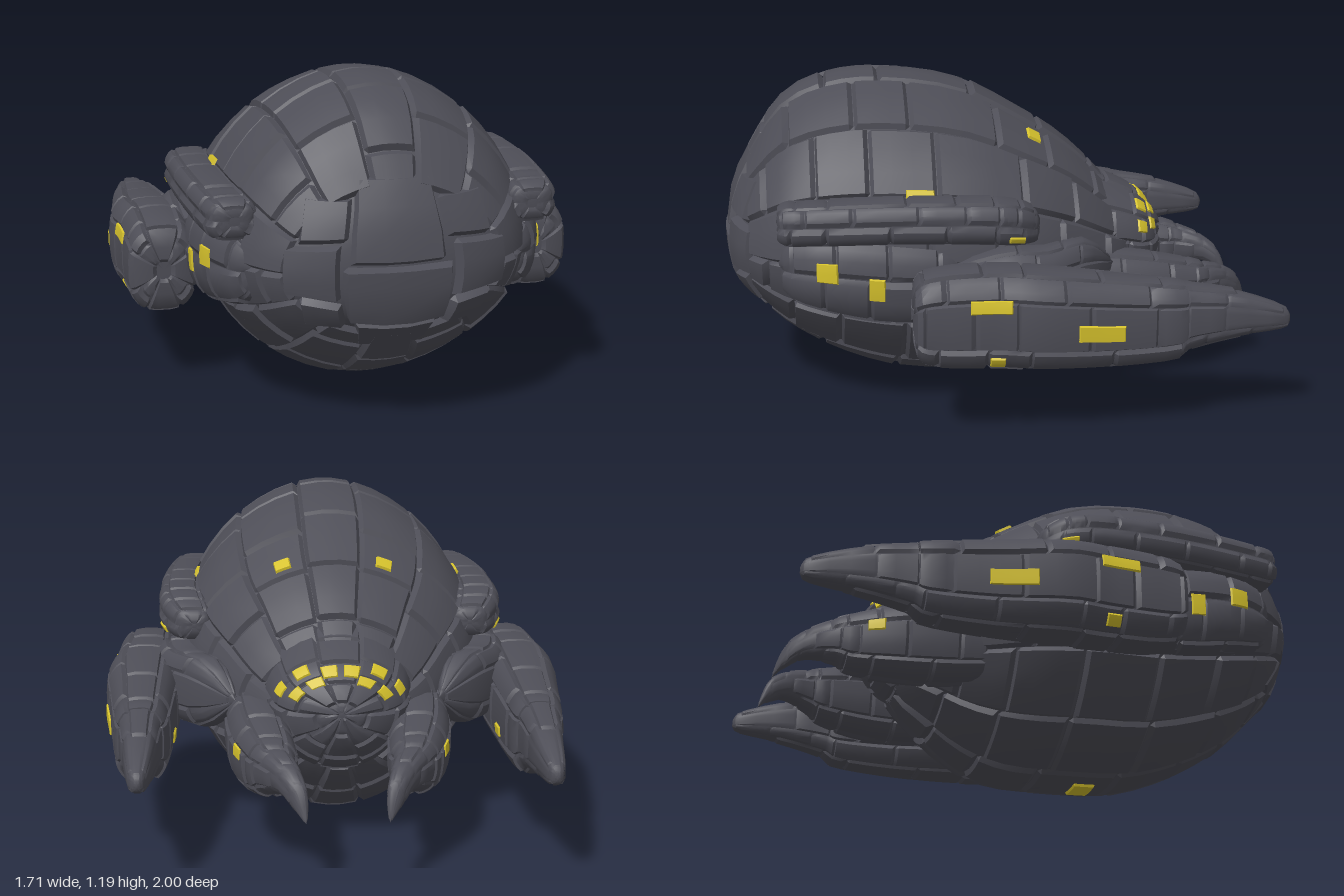
import * as THREE from 'three';
import { mergeGeometries, toCreasedNormals } from 'three/addons/utils/BufferGeometryUtils.js';

const RAD = Math.PI / 180;
const hash = (a, b) => { const s = Math.sin(a * 127.1 + b * 311.7 + 3.3) * 43758.5453; return s - Math.floor(s); };

// Smooth surface through cross-sections [z, cx, cy, halfWidth, heightUp, heightDown], listed from +z to -z
function makeSurface(rows, power, side) {
  const last = rows.length - 1;
  const at = (t) => {
    t = Math.min(Math.max(t, 0), last);
    const i = Math.min(Math.floor(t), last - 1), f = t - i;
    const p = [i - 1, i, i + 1, i + 2].map((k) => rows[Math.min(Math.max(k, 0), last)]);
    return p[0].map((_, k) => {
      const [a, b, c, d] = p.map((r) => r[k]);
      return b + 0.5 * f * (c - a + f * (2 * a - 5 * b + 4 * c - d + f * (3 * (b - c) + d - a)));
    });
  };
  const pow = (v) => Math.sign(v) * Math.pow(Math.abs(v), power);
  const point = (t, a) => {
    const [z, cx, cy, rx, up, down] = at(t), s = Math.sin(a);
    return new THREE.Vector3(cx * side + rx * pow(Math.cos(a)), cy + (s > 0 ? up : down) * pow(s), z);
  };
  // Row position of a given z
  const tAt = (z) => {
    let i = 0;
    while (i < last - 1 && rows[i + 1][0] > z) i++;
    return i + (rows[i][0] - z) / (rows[i][0] - rows[i + 1][0]);
  };
  return { point, tAt, last };
}

function grid(us, vs, fn) {
  const pos = [], idx = [], n = vs.length;
  us.forEach((u, i) => vs.forEach((v, j) => {
    pos.push(...fn(u, v, i, j).toArray());
    if (i && j) {
      const d = i * n + j, c = d - 1, b = d - n, a = b - 1;
      idx.push(a, c, d, a, d, b);
    }
  }));
  const g = new THREE.BufferGeometry();
  g.setAttribute('position', new THREE.Float32BufferAttribute(pos, 3));
  g.setIndex(idx);
  return g;
}

// Raised plate with bevelled rim on a patch of a surface
function plate(point, u0, u1, v0, v1, low, high, rim) {
  const um = (u0 + u1) / 2, vm = (v0 + v1) / 2;
  const stops = (a, b, len) => {
    const e = Math.min(0.25, rim / Math.max(len, 0.001));
    return [0, e, 0.35, 0.65, 1 - e, 1].map((f) => a + (b - a) * f);
  };
  const us = stops(u0, u1, point(u0, vm).distanceTo(point(u1, vm)));
  const vs = stops(v0, v1, point(um, v0).distanceTo(point(um, v1)));
  return grid(us, vs, (u, v, i, j) => {
    const du = point(u + 0.03, v).sub(point(u - 0.03, v));
    const dv = point(u, v + 0.03).sub(point(u, v - 0.03));
    const edge = i === 0 || j === 0 || i === 5 || j === 5;
    return point(u, v).addScaledVector(du.cross(dv).normalize(), edge ? low : high);
  });
}

export function createModel() {
  const model = new THREE.Group();
  const armour = new THREE.MeshStandardMaterial({ color: 0x4e4e57 });
  armour.name = 'dark grey armour';
  const glow = new THREE.MeshStandardMaterial({ color: 0xd6c22c });
  glow.name = 'yellow light';

  const add = (name, geos, mat) => {
    const mesh = new THREE.Mesh(toCreasedNormals(mergeGeometries(geos), 0.55), mat);
    mesh.name = name;
    model.add(mesh);
  };

  // Skin covered with staggered plates, plus lights [z, degrees, halfLength, halfDegrees]
  function armoured(name, rows, { cols, len, h, rim = 0.01, power = 1, side = 1, start = 0.3, lights = [], rear = [] }) {
    const s = makeSurface(rows, power, side);
    const range = (n, size) => Array.from({ length: n + 1 }, (_, i) => i / n * size);
    const geos = [grid(range(s.last * 3, s.last), range(40, Math.PI * 2), s.point)];
    const step = Math.PI * 2 / cols;
    for (let c = 0; c < cols; c++) {
      const key = Math.min(c, cols - c) + rows.length, a = Math.PI / 2 + c * step;
      let t = start, k = 0;
      while (t < s.last - 0.3) {
        let next = t + len * (k ? 0.75 + 0.5 * hash(key, k) : 0.5 + 0.5 * (key % 2));
        if (next > s.last - 0.7) next = s.last - 0.2;
        const mid = (t + next) / 2, radius = s.point(mid, 0).distanceTo(s.point(mid, Math.PI)) / 2;
        const high = h * Math.min(1, radius * 10) * (0.7 + 0.4 * hash(key, k + 9));
        geos.push(plate(s.point, t + 0.006, next - 0.006, a - step * 0.497, a + step * 0.497, h * 0.15, high, rim));
        t = next;
        k++;
      }
    }
    // Square plates across the rounded end
    const polar = (p, q) => s.point(Math.hypot(p, q), Math.atan2(q, p));
    rear.forEach(([p0, p1, q0, q1], i) => geos.push(plate(polar, p0, p1, q0, q1, 0, h * (1 + 0.25 * (i % 2)), rim)));
    add(name, geos, armour);
    if (lights.length) {
      add(name + 'Lights', lights.map(([z, deg, l, d]) => {
        const a = (side < 0 ? 180 - deg : deg) * RAD;
        return plate(s.point, s.tAt(z + l), s.tAt(z - l), a - d * RAD, a + d * RAD, h * 0.8, h * 1.1 + 0.002, 0.004);
      }), glow);
    }
  }
  const both = (list) => [...list, ...list.map(([z, d, l, w]) => [z, 180 - d, l, w])];

  // Great rounded hull
  armoured('abdomen', [
    [0.978, 0, 0.6, 0, 0, 0], [0.955, 0, 0.6, 0.22, 0.15, 0.15], [0.89, 0, 0.6, 0.38, 0.29, 0.23],
    [0.76, 0, 0.6, 0.49, 0.48, 0.36], [0.58, 0, 0.6, 0.54, 0.56, 0.47], [0.36, 0, 0.6, 0.56, 0.567, 0.55],
    [0.12, 0, 0.6, 0.56, 0.52, 0.57], [-0.1, 0, 0.58, 0.52, 0.42, 0.55], [-0.26, 0, 0.54, 0.43, 0.355, 0.45],
    [-0.4, 0, 0.5, 0.33, 0.26, 0.3], [-0.5, 0, 0.48, 0.2, 0.15, 0.18], [-0.54, 0, 0.48, 0, 0, 0],
  ], {
    cols: 14, len: 1.15, h: 0.024, rim: 0.014, start: 1.9, power: 1.08,
    lights: [...both([[-0.13, 67, 0.022, 3.5], [0.3, 26.5, 0.05, 2]]), [0.22, -90, 0.04, 6]],
    rear: [[-0.75, 0.75, 0.25, 2.1], [-0.85, 0.85, -1.3, 0.2], [-0.75, 0.75, -2.4, -1.35],
      [0.9, 2, -0.7, 0.7], [-2, -0.9, -0.7, 0.7], [0.8, 1.7, 0.75, 1.7], [-1.7, -0.8, 0.75, 1.7],
      [0.9, 1.7, -1.7, -0.75], [-1.7, -0.9, -1.7, -0.75]],
  });

  // Head with a cluster of eyes
  armoured('head', [
    [-0.22, 0, 0.58, 0.32, 0.27, 0.24], [-0.36, 0, 0.57, 0.27, 0.21, 0.28], [-0.48, 0, 0.56, 0.245, 0.165, 0.27],
    [-0.555, 0, 0.54, 0.22, 0.145, 0.21], [-0.605, 0, 0.53, 0.165, 0.105, 0.14], [-0.64, 0, 0.53, 0.08, 0.055, 0.08],
    [-0.655, 0, 0.53, 0, 0, 0],
  ], {
    cols: 10, len: 1.3, h: 0.014,
    lights: both([[-0.55, 22, 0.018, 8], [-0.553, 52, 0.019, 8], [-0.595, 31, 0.013, 10], [-0.598, 60, 0.013, 10], [-0.577, 79, 0.017, 8]]),
  });

  for (const side of [1, -1]) {
    const pre = side > 0 ? 'left' : 'right';

    // Long outer arms with blunt tips
    armoured(pre + 'Arm', [
      [0.335, 0.705, 0.46, 0, 0, 0], [0.325, 0.705, 0.46, 0.1, 0.125, 0.125], [0.25, 0.705, 0.46, 0.112, 0.16, 0.16],
      [0.05, 0.705, 0.46, 0.12, 0.168, 0.17], [-0.1, 0.715, 0.455, 0.13, 0.163, 0.172], [-0.34, 0.71, 0.43, 0.106, 0.155, 0.155],
      [-0.57, 0.705, 0.42, 0.085, 0.133, 0.135], [-0.63, 0.705, 0.43, 0.068, 0.11, 0.115], [-0.8, 0.7, 0.425, 0.052, 0.083, 0.075],
      [-0.97, 0.7, 0.405, 0.027, 0.042, 0.035], [-1, 0.7, 0.4, 0, 0, 0],
    ], {
      cols: 8, len: 1.1, h: 0.015, power: 0.7, side,
      lights: [[0.08, 18, 0.07, 8], [-0.3, -3, 0.08, 5.5], [0.06, -43, 0.027, 10], [-0.38, 190, 0.03, 6]],
    });

    // Shoulder block joining arm and hull
    armoured(pre + 'Shoulder', [
      [0.2, 0.56, 0.52, 0, 0, 0], [0.17, 0.57, 0.52, 0.08, 0.08, 0.1], [0.0, 0.57, 0.53, 0.1, 0.12, 0.13],
      [-0.14, 0.55, 0.52, 0.09, 0.12, 0.13], [-0.3, 0.46, 0.52, 0.07, 0.12, 0.12], [-0.42, 0.37, 0.52, 0, 0, 0],
    ], { cols: 8, len: 1.2, h: 0.013, power: 0.75, side });

    // Upper flank pods
    armoured(pre + 'UpperPod', [
      [0.8, 0.52, 0.76, 0, 0, 0], [0.785, 0.525, 0.765, 0.07, 0.055, 0.06], [0.68, 0.54, 0.77, 0.08, 0.06, 0.07],
      [0.4, 0.565, 0.775, 0.08, 0.065, 0.07], [0.12, 0.57, 0.77, 0.08, 0.065, 0.075], [-0.02, 0.555, 0.755, 0.08, 0.065, 0.07],
      [-0.1, 0.525, 0.73, 0.06, 0.05, 0.05], [-0.12, 0.52, 0.73, 0, 0, 0],
    ], { cols: 6, len: 0.75, h: 0.014, power: 0.65, side, lights: [[-0.02, -28, 0.028, 11]] });

    // Lower flank pods
    armoured(pre + 'LowerPod', [
      [0.8, 0.44, 0.58, 0, 0, 0], [0.77, 0.45, 0.58, 0.07, 0.1, 0.1], [0.62, 0.49, 0.58, 0.1, 0.13, 0.15],
      [0.4, 0.51, 0.56, 0.1, 0.13, 0.17], [0.2, 0.51, 0.55, 0.08, 0.1, 0.14], [0.12, 0.5, 0.55, 0, 0, 0],
    ], { cols: 6, len: 0.9, h: 0.016, power: 0.75, side, lights: [[0.625, 6, 0.034, 10], [0.46, -8, 0.027, 10]] });

    // Hooked jaws beside the head
    armoured(pre + 'Jaw', [
      [-0.22, 0.31, 0.42, 0.08, 0.12, 0.14], [-0.4, 0.3, 0.41, 0.098, 0.13, 0.16], [-0.58, 0.28, 0.39, 0.1, 0.12, 0.14],
      [-0.73, 0.25, 0.38, 0.082, 0.09, 0.11], [-0.78, 0.24, 0.38, 0.065, 0.075, 0.08], [-0.88, 0.195, 0.37, 0.042, 0.05, 0.05],
      [-0.95, 0.16, 0.32, 0.025, 0.04, 0.035], [-0.985, 0.14, 0.25, 0, 0, 0],
    ], { cols: 7, len: 1, h: 0.013, power: 0.8, side, lights: [[-0.65, 8, 0.028, 9]] });
  }
  return model;
}
